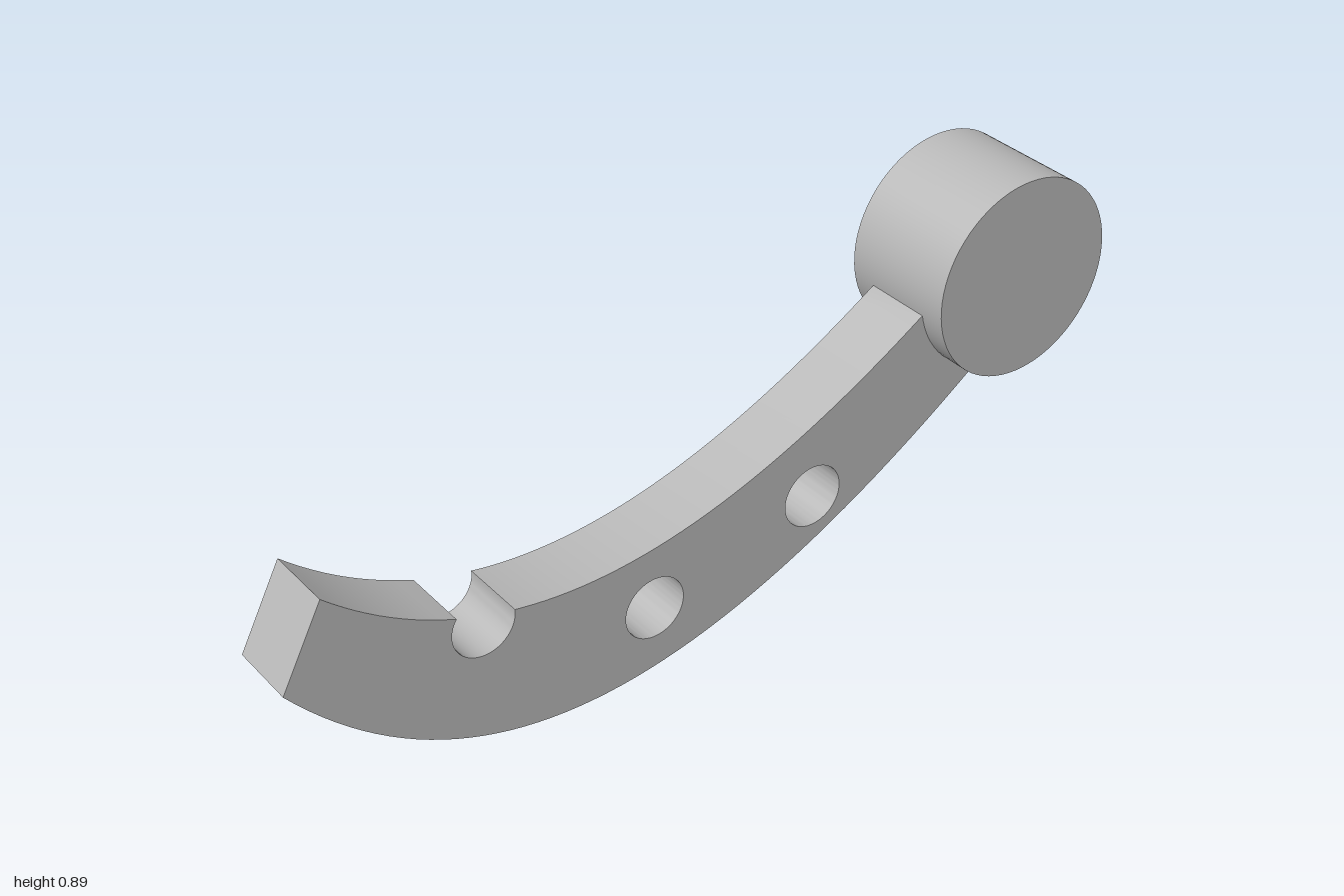
import * as THREE from 'three';
import { toCreasedNormals } from 'three/addons/utils/BufferGeometryUtils.js';

const HOLE_R = 0.073;
const v = (x, y) => new THREE.Vector2(x, y);

export function createModel() {
  const group = new THREE.Group();
  const grey = new THREE.MeshStandardMaterial({ color: 0xb8b8b8 });
  grey.name = 'grey';

  // Curved arm outline: lower sweep, end buried in the boss, upper sweep with an open notch
  const lower = new THREE.QuadraticBezierCurve(v(-1, 0.345), v(-0.4, -0.384), v(0.71, 0.45));
  const upper = new THREE.QuadraticBezierCurve(v(0.545, 0.625), v(-0.353, 0.037), v(-0.905, 0.53));
  const notch = v(-0.56, 0.313);
  const outline = [...lower.getPoints(48), v(0.77, 0.668)];
  let notchDone = false;
  for (const p of upper.getPoints(48)) {
    if (!notchDone && p.x < notch.x) {
      for (let i = 0; i <= 28; i++) {
        const a = THREE.MathUtils.degToRad(5 - (220 * i) / 28);
        outline.push(v(notch.x + HOLE_R * Math.cos(a), notch.y + HOLE_R * Math.sin(a)));
      }
      notchDone = true;
    }
    if (p.x < -0.622 || p.x > -0.485) outline.push(p);
  }
  const shape = new THREE.Shape(outline);

  // Two through holes
  for (const [x, y] of [[-0.15, 0.172], [0.262, 0.283]]) {
    shape.holes.push(new THREE.Path().absarc(x, y, HOLE_R, 0, Math.PI * 2, true));
  }
  const armGeometry = new THREE.ExtrudeGeometry(shape, { depth: 0.16, bevelEnabled: false, curveSegments: 40 });
  armGeometry.translate(0, 0, -0.08);
  const arm = new THREE.Mesh(toCreasedNormals(armGeometry, 0.5), grey);
  arm.name = 'curvedArm';
  group.add(arm);

  // Round boss at the raised end
  const boss = new THREE.Mesh(new THREE.CylinderGeometry(0.229, 0.229, 0.283, 72), grey);
  boss.name = 'roundBoss';
  boss.rotation.x = Math.PI / 2;
  boss.position.set(0.771, 0.668, 0);
  group.add(boss);

  return group;
}
